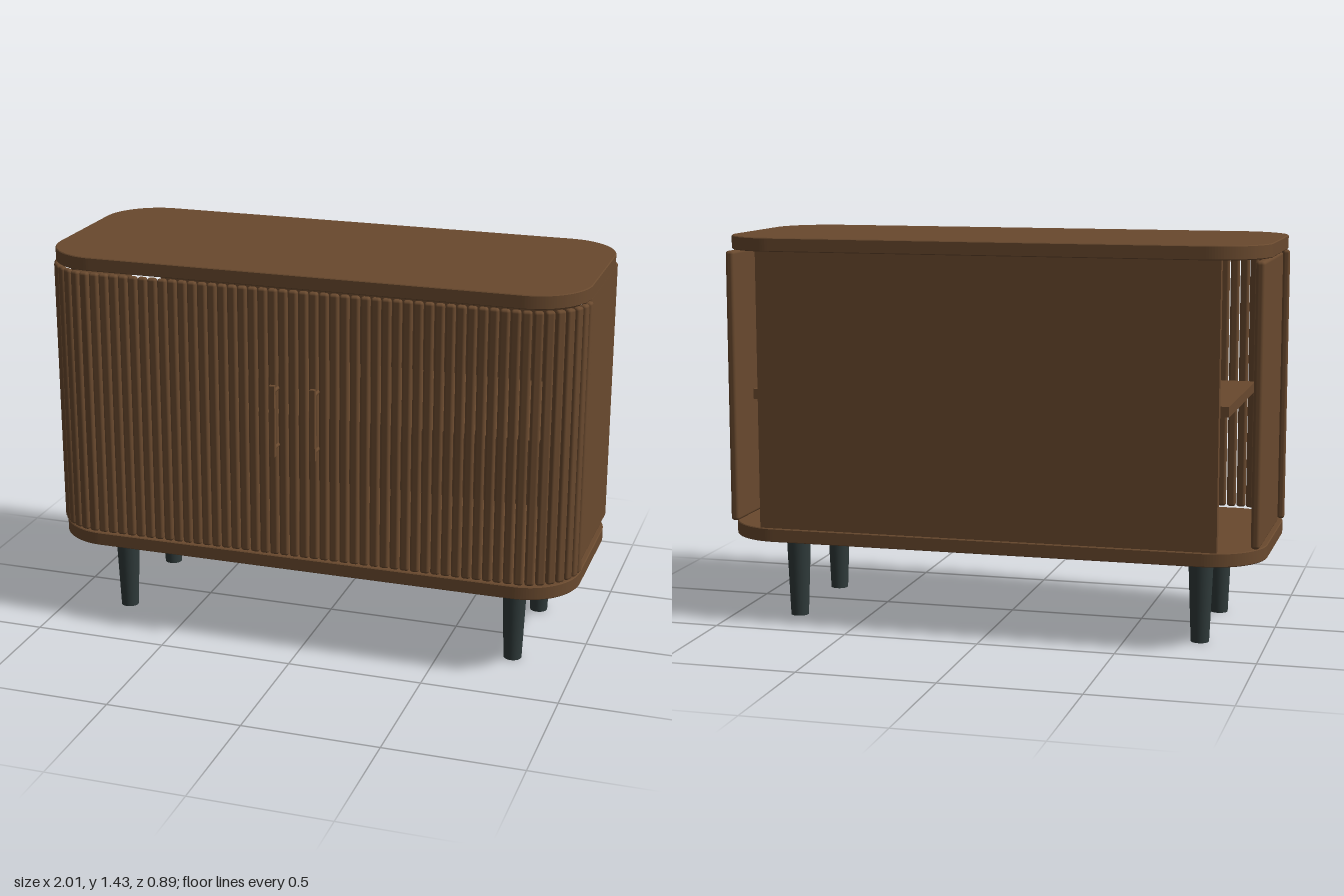
import * as THREE from 'three';
import { RoundedBoxGeometry } from 'three/addons/geometries/RoundedBoxGeometry.js';

export function createModel() {
  const model = new THREE.Group();
  model.name = 'tambourSideboard';

  const wood = new THREE.MeshStandardMaterial({ color: 0x69492e });
  wood.name = 'walnutWood';
  const legPaint = new THREE.MeshStandardMaterial({ color: 0x2f3a3a });
  legPaint.name = 'darkLegPaint';

  const add = (name, geometry, material, x, y, z, parent = model) => {
    const mesh = new THREE.Mesh(geometry, material);
    mesh.name = name;
    mesh.position.set(x, y, z);
    parent.add(mesh);
    return mesh;
  };

  // Top and base: slabs with rounded corners in plan
  const halfW = 0.997, halfD = 0.409, r = 0.2, bevel = 0.003;
  const w = halfW - bevel, d = halfD - bevel;
  const plan = new THREE.Shape();
  plan.moveTo(-w + r, -d);
  plan.lineTo(w - r, -d);
  plan.absarc(w - r, -d + r, r, -Math.PI / 2, 0);
  plan.absarc(w - r, d - r, r, 0, Math.PI / 2);
  plan.absarc(-w + r, d - r, r, Math.PI / 2, Math.PI);
  plan.absarc(-w + r, -d + r, r, Math.PI, Math.PI * 1.5);
  const slab = new THREE.ExtrudeGeometry(plan, {
    depth: 0.05 - 2 * bevel, curveSegments: 16,
    bevelThickness: bevel, bevelSize: bevel, bevelSegments: 1,
  });
  slab.rotateX(-Math.PI / 2);
  add('topSlab', slab, wood, 0, 1.38 + bevel, -0.035);
  add('baseSlab', slab, wood, 0, 0.315 + bevel, -0.035);

  // Back panel and inner shelf
  add('backPanel', new THREE.BoxGeometry(1.69, 1.015, 0.034), wood, 0, 0.8725, -0.418);
  add('shelf', new THREE.BoxGeometry(1.75, 0.037, 0.66), wood, 0, 0.8565, -0.071);

  // Slats: a straight run across the front, then a quarter turn at each corner
  const doors = new THREE.Group();
  doors.name = 'slattedDoors';
  model.add(doors);
  const slat = new RoundedBoxGeometry(0.034, 1.003, 0.026, 2, 0.01);
  const cornerX = 0.795, cornerZ = 0.175, turnR = 0.195;
  const straight = 21, turned = 8, midY = 0.8735;

  // Handle pieces
  const bar = new THREE.BoxGeometry(0.02, 0.265, 0.017);
  const stub = new THREE.CylinderGeometry(0.007, 0.007, 0.056, 12);
  stub.rotateX(Math.PI / 2);

  const side = new RoundedBoxGeometry(0.032, 1.003, 0.505, 3, 0.012);
  const leg = new THREE.CylinderGeometry(0.045, 0.033, 0.297, 32);

  for (const s of [1, -1]) {
    const label = s > 0 ? 'left' : 'right';
    for (let i = 0; i < straight; i++) {
      add(label + 'FrontSlat', slat, wood,
        s * (i + 0.5) * cornerX / straight, midY, cornerZ + turnR, doors);
    }
    for (let i = 0; i < turned; i++) {
      const a = (i + 0.5) / turned * Math.PI / 2;
      const mesh = add(label + 'CornerSlat', slat, wood,
        s * (cornerX + turnR * Math.sin(a)), midY, cornerZ + turnR * Math.cos(a), doors);
      mesh.rotation.y = s * a;
    }

    add(label + 'SidePanel', side, wood, s * 0.97, midY, -0.1235);

    // Upright pull with two standoffs
    const handle = new THREE.Group();
    handle.name = label + 'Handle';
    handle.position.x = s * 0.075;
    model.add(handle);
    add('handleBar', bar, wood, 0, 0.9085, 0.4375, handle);
    for (const y of [0.802, 1.015]) add('handleStandoff', stub, wood, 0, y, 0.405, handle);

    // Tapered legs
    for (const z of [0.187, -0.257]) {
      add(label + (z > 0 ? 'FrontLeg' : 'BackLeg'), leg, legPaint, s * 0.763, 0.1485, z);
    }
  }
  return model;
}
